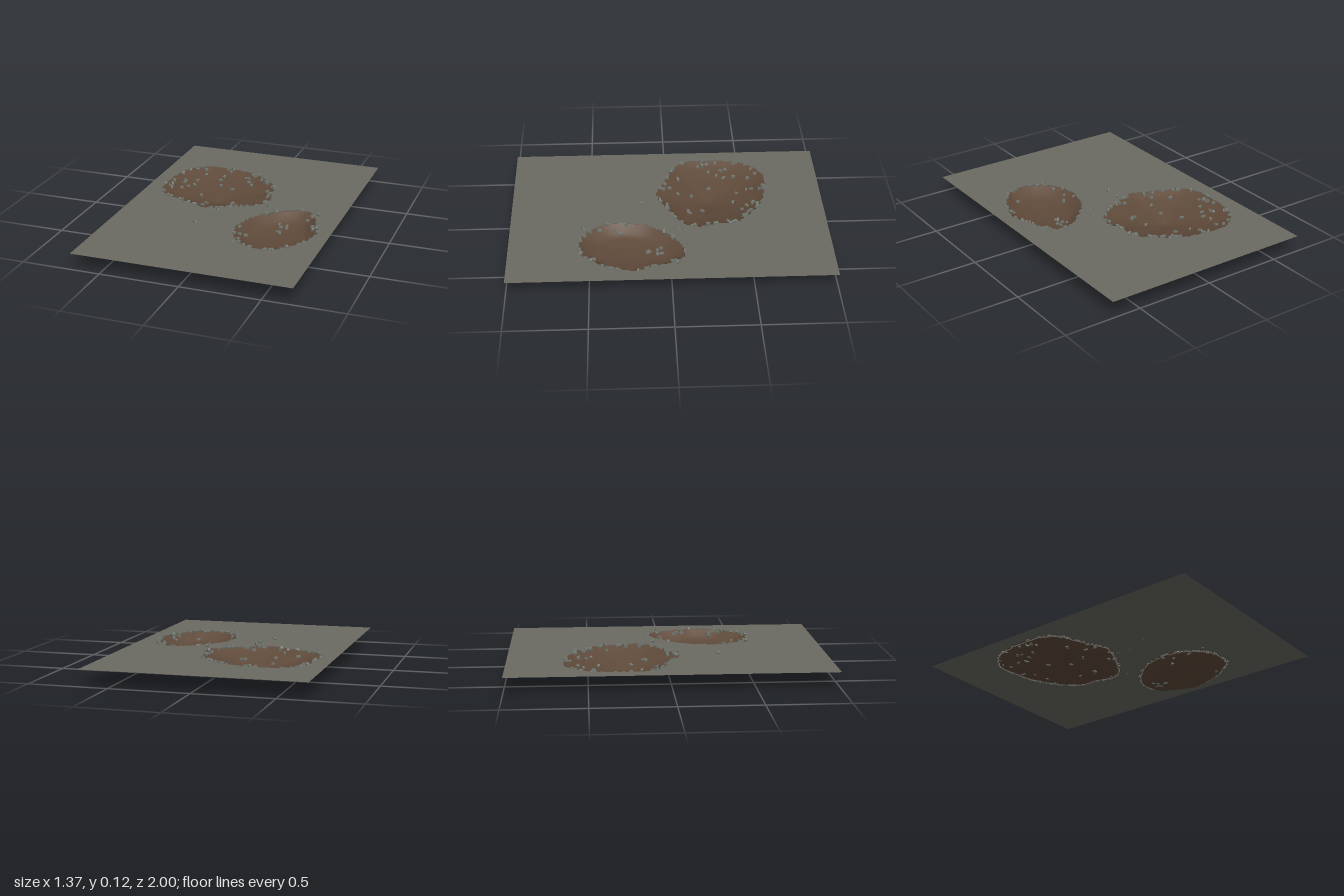
import * as THREE from 'three';
import { mergeGeometries } from 'three/addons/utils/BufferGeometryUtils.js';

const GROUND_Y = 0.105;
const RIM_DEPTH = 0.012;

// Each pit: outline [x, z], deepest point and depth profile [fraction of radius, y]
const PITS = [
  {
    name: 'largeCrater', center: [-0.225, -0.27], stones: 74, seed: 7,
    outline: [[-0.39, -0.65], [-0.28, -0.64], [-0.15, -0.62], [0, -0.54], [0.13, -0.4], [0.135, -0.29],
      [0.163, -0.18], [0.13, -0.09], [0, -0.01], [-0.1, 0.04], [-0.19, 0.07], [-0.29, 0.04], [-0.4, -0.01],
      [-0.52, -0.06], [-0.58, -0.16], [-0.59, -0.24], [-0.585, -0.39], [-0.555, -0.51], [-0.49, -0.6]],
    profile: [[0, 0.002], [0.3, 0.025], [0.6, 0.049], [0.85, 0.077], [1, 0.103]],
  },
  {
    name: 'smallCrater', center: [0.36, 0.24], stones: 38, seed: 23,
    outline: [[0.41, -0.09], [0.48, -0.065], [0.52, 0], [0.56, 0.11], [0.595, 0.21], [0.58, 0.32],
      [0.55, 0.41], [0.48, 0.495], [0.43, 0.55], [0.25, 0.55], [0.17, 0.48], [0.12, 0.4], [0.1, 0.29],
      [0.115, 0.2], [0.15, 0.11], [0.22, 0.02], [0.3, -0.05]],
    profile: [[0, 0.025], [0.35, 0.031], [0.7, 0.046], [0.85, 0.072], [1, 0.103]],
  },
];

// Stones thrown clear of the pits [x, z]
const LOOSE = [[0.19, -0.07], [-0.1, 0.08], [-0.1, 0.175], [-0.16, 0.325], [0.17, 0.54], [-0.03, -0.575], [0.53, -0.04]];

function seeded(seed) {
  let s = seed * 7919;
  return () => (s = (s * 16807) % 2147483647) / 2147483647;
}

function sampleOutline(pit, count) {
  const points = pit.outline.map(([x, z]) => new THREE.Vector3(x, 0, z));
  return new THREE.CatmullRomCurve3(points, true, 'centripetal').getSpacedPoints(count).slice(0, count);
}

// Snap an outline to a fine grid for the broken, stepped edge
function steppedOutline(pit) {
  const grid = 0.012, out = [];
  const pts = sampleOutline(pit, 160).map(p => [Math.round(p.x / grid) * grid, Math.round(p.z / grid) * grid]);
  let last = pts[pts.length - 1];
  for (const p of pts) {
    const dx = Math.abs(p[0] - last[0]) > 1e-6, dz = Math.abs(p[1] - last[1]) > 1e-6;
    if (dx && dz) out.push([p[0], last[1]]);
    if (dx || dz) out.push(p);
    last = p;
  }
  return out;
}

function heightAt(profile, t) {
  for (let i = 1; i < profile.length; i++) {
    const [a, ya] = profile[i - 1], [b, yb] = profile[i];
    if (t <= b) return THREE.MathUtils.lerp(ya, yb, (t - a) / (b - a));
  }
  return profile[profile.length - 1][1];
}

// Concentric rings shrinking from the outline to the deepest point
function bowlGeometry(pit) {
  const n = 96, rings = 14, [cx, cz] = pit.center;
  const edge = sampleOutline(pit, n);
  const pos = [cx, pit.profile[0][1], cz], idx = [];
  for (let r = 1; r <= rings; r++) {
    const t = r / rings, y = heightAt(pit.profile, t);
    for (const p of edge) pos.push(cx + (p.x - cx) * t * 1.01, y, cz + (p.z - cz) * t * 1.01);
  }
  for (let j = 0; j < n; j++) {
    const k = (j + 1) % n;
    idx.push(0, 1 + k, 1 + j);
    for (let r = 0; r < rings - 1; r++) {
      const a = 1 + r * n + j, b = 1 + r * n + k;
      idx.push(a, b, b + n, a, b + n, a + n);
    }
  }
  const g = new THREE.BufferGeometry();
  g.setAttribute('position', new THREE.Float32BufferAttribute(pos, 3));
  g.setIndex(idx);
  g.computeVertexNormals();
  return g;
}

// Vertical wall hanging from the stepped edge
function rimGeometry(outline) {
  const pos = [];
  outline.forEach(([x, z], i) => {
    const [u, w] = outline[(i + 1) % outline.length], low = GROUND_Y - RIM_DEPTH;
    pos.push(x, GROUND_Y, z, x, low, z, u, low, w, x, GROUND_Y, z, u, low, w, u, GROUND_Y, w);
  });
  const g = new THREE.BufferGeometry();
  g.setAttribute('position', new THREE.Float32BufferAttribute(pos, 3));
  g.computeVertexNormals();
  return g;
}

function stoneGeometry(x, y, z, rnd) {
  const g = new THREE.BoxGeometry(0.012 + rnd() * 0.006, 0.012 + rnd() * 0.006, 0.018 + rnd() * 0.01);
  g.rotateX((rnd() - 0.5) * 0.9);
  g.rotateY(rnd() * Math.PI);
  g.translate(x, y, z);
  return g;
}

// Rubble gathered mostly towards the edge of a pit
function rubbleGeometry(pit) {
  const rnd = seeded(pit.seed), edge = sampleOutline(pit, 200), [cx, cz] = pit.center, stones = [];
  for (let i = 0; i < pit.stones; i++) {
    const p = edge[Math.floor(rnd() * 200)];
    const t = i % 5 === 0 ? 0.3 + rnd() * 0.5 : 1 - rnd() * rnd() * 0.3;
    stones.push(stoneGeometry(cx + (p.x - cx) * t, heightAt(pit.profile, t) + 0.003, cz + (p.z - cz) * t, rnd));
  }
  return mergeGeometries(stones);
}

export function createModel() {
  const model = new THREE.Group();
  model.name = 'crateredGround';
  const material = (name, color) => {
    const m = new THREE.MeshStandardMaterial({ color, side: THREE.DoubleSide });
    m.name = name;
    return m;
  };
  const concrete = material('concreteGrey', 0x6b6a62);
  const earth = material('earthBrown', 0x5f4a3a);
  const stone = material('stoneGrey', 0x727872);
  const add = (parent, name, geometry, mat) => {
    const mesh = new THREE.Mesh(geometry, mat);
    mesh.name = name;
    parent.add(mesh);
  };

  // Ground sheet with a hole for each pit
  const sheet = new THREE.Shape([[-0.685, -1], [0.685, -1], [0.685, 1], [-0.685, 1]].map(p => new THREE.Vector2(...p)));

  for (const pit of PITS) {
    const group = new THREE.Group();
    group.name = pit.name;
    const outline = steppedOutline(pit);
    sheet.holes.push(new THREE.Path(outline.map(([x, z]) => new THREE.Vector2(x, -z))));
    add(group, 'earthBowl', bowlGeometry(pit), earth);
    add(group, 'brokenRim', rimGeometry(outline), concrete);
    add(group, 'rubble', rubbleGeometry(pit), stone);
    model.add(group);
  }

  const ground = new THREE.ShapeGeometry(sheet);
  ground.rotateX(-Math.PI / 2);
  ground.translate(0, GROUND_Y, 0);
  add(model, 'groundSheet', ground, concrete);

  // Stones lying on the ground around the pits
  const rnd = seeded(41);
  add(model, 'looseStones', mergeGeometries(LOOSE.map(([x, z]) => stoneGeometry(x, GROUND_Y + 0.006, z, rnd))), stone);
  return model;
}
